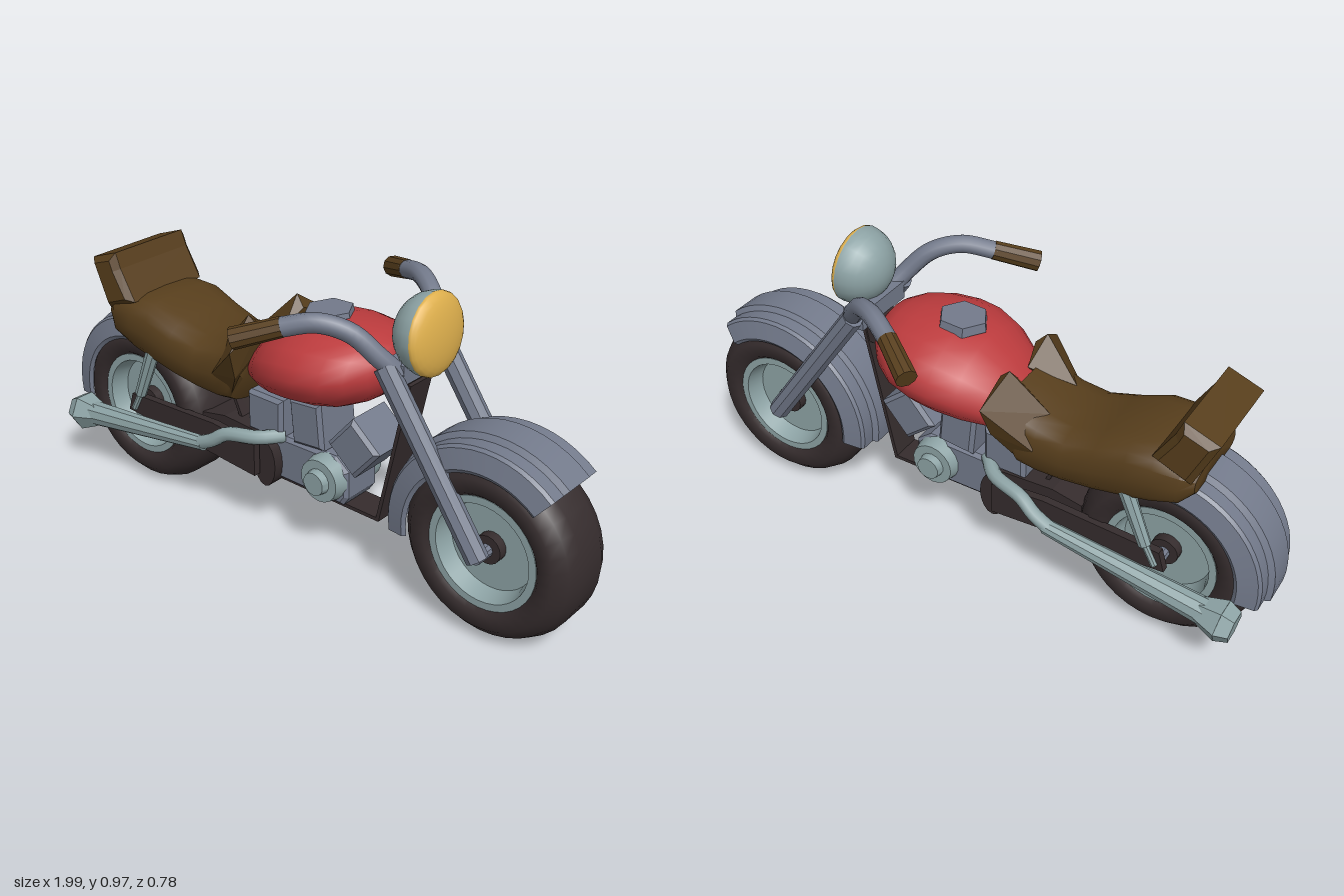
import * as THREE from 'three';
import { toCreasedNormals } from 'three/addons/utils/BufferGeometryUtils.js';
import { ConvexGeometry } from 'three/addons/geometries/ConvexGeometry.js';

const material = (name, color, side = THREE.FrontSide) => {
  const m = new THREE.MeshStandardMaterial({ color, side });
  m.name = name;
  return m;
};
const V = (x, y, z) => new THREE.Vector3(x, y, z);

export function createModel() {
  const red = material('red paint', 0xbc3b3d);
  const grey = material('grey metal', 0x737a8b, THREE.DoubleSide);
  const pale = material('pale metal', 0x8da3a5);
  const dark = material('dark rubber', 0x352c2d);
  const brown = material('brown leather', 0x573e1c);
  const yellow = material('yellow glass', 0xdfb04d);
  const model = new THREE.Group();
  model.name = 'motorcycle';

  const add = (name, geo, mat, x = 0, y = 0, z = 0, parent = model) => {
    const mesh = new THREE.Mesh(geo, mat);
    mesh.name = name;
    mesh.position.set(x, y, z);
    parent.add(mesh);
    return mesh;
  };
  const box = (name, mat, w, h, d, x, y, z = 0) => add(name, new THREE.BoxGeometry(w, h, d), mat, x, y, z);

  // Straight round bar between two points, with its own radius at each end
  const rod = (name, mat, a, b, ra, rb = ra, sides = 12) => {
    const geo = new THREE.CylinderGeometry(rb, ra, a.distanceTo(b), sides);
    const mid = a.clone().add(b).multiplyScalar(0.5);
    const mesh = add(name, toCreasedNormals(geo, 0.6), mat, mid.x, mid.y, mid.z);
    mesh.quaternion.setFromUnitVectors(V(0, 1, 0), b.clone().sub(a).normalize());
    return mesh;
  };

  // Flat outline in x-y, extruded evenly about z = 0
  const slab = (points, depth, bevel = 0) => {
    const shape = new THREE.Shape(points.map(([x, y]) => new THREE.Vector2(x, y)));
    const geo = new THREE.ExtrudeGeometry(shape, {
      depth: depth - 2 * bevel, bevelEnabled: bevel > 0, bevelSize: bevel,
      bevelThickness: bevel, bevelOffset: -bevel, bevelSegments: 1,
    });
    return geo.translate(0, 0, bevel - depth / 2);
  };

  // Body along x from rounded sections [x, bottom, top, half width]
  const loft = (sections, n, power, crease) => {
    const pos = [], index = [], last = sections.length - 1;
    const round = (v) => Math.sign(v) * Math.abs(v) ** power;
    for (const [x, low, high, w] of sections)
      for (let j = 0; j < n; j++) {
        const t = (j / n) * Math.PI * 2;
        pos.push(x, (low + high) / 2 + (high - low) / 2 * round(Math.cos(t)), w * round(Math.sin(t)));
      }
    for (let i = 0; i < last; i++)
      for (let j = 0; j < n; j++) {
        const k = (j + 1) % n, a = i * n + j, d = i * n + k;
        index.push(a, d, a + n, a + n, d, d + n);
      }
    for (let j = 1; j < n - 1; j++) {
      index.push(0, j + 1, j);
      index.push(last * n, last * n + j, last * n + j + 1);
    }
    const geo = new THREE.BufferGeometry();
    geo.setAttribute('position', new THREE.Float32BufferAttribute(pos, 3));
    geo.setIndex(index);
    return toCreasedNormals(geo, crease);
  };

  // Lathe about the z axis, limited to an arc given in degrees from +x
  const spin = (points, from = 0, to = 360, seg = 36) => new THREE.LatheGeometry(
    points.map(([r, z]) => new THREE.Vector2(r, z)), seg,
    THREE.MathUtils.degToRad(from + 90), THREE.MathUtils.degToRad(to - from)).rotateX(Math.PI / 2);

  // Wheels with mudguards
  const wheel = (name, x, from, to, grow) => {
    const g = new THREE.Group();
    g.name = name;
    g.position.set(x, 0.287, 0);
    model.add(g);
    add('tyre', spin([[0.165, -0.09], [0.19, -0.12], [0.235, -0.122], [0.268, -0.09], [0.285, -0.05],
      [0.285, 0.05], [0.268, 0.09], [0.235, 0.122], [0.19, 0.12], [0.165, 0.09]]), dark, 0, 0, 0, g);
    add('rim', toCreasedNormals(spin([[0, -0.05], [0.14, -0.05], [0.155, -0.108], [0.178, -0.108],
      [0.178, 0.108], [0.155, 0.108], [0.14, 0.05], [0, 0.05]]), 0.6), pale, 0, 0, 0, g);
    add('hub', toCreasedNormals(spin([[0, -0.08], [0.045, -0.08], [0.045, 0.08], [0, 0.08]], 0, 360, 16), 0.6), dark, 0, 0, 0, g);
    add('axle', toCreasedNormals(spin([[0, -0.14], [0.02, -0.14], [0.02, 0.14], [0, 0.14]], 0, 360, 10), 0.6), grey, 0, 0, 0, g);
    const guard = [[0.26, -0.13], [0.318, -0.115], [0.326, -0.105], [0.326, -0.062], [0.342, -0.05]];
    const across = [...guard, ...guard.map(([r, z]) => [r, -z]).reverse()];
    const inner = across.map(([r, z]) => [r - 0.012, z * 0.94]).reverse();
    add('mudguard', toCreasedNormals(spin([...across, ...inner, across[0]].map(([r, z]) => [r + grow, z]),
      from, to, 20), 0.5), grey, 0, 0, 0, g);
  };
  wheel('frontWheel', 0.71, 50, 189, 0.002);
  wheel('rearWheel', -0.67, 60, 189, -0.012);

  // Fuel tank and cap
  add('tank', loft([[-0.2, 0.52, 0.59, 0.06], [-0.17, 0.51, 0.65, 0.11], [-0.1, 0.51, 0.715, 0.165],
    [-0.03, 0.515, 0.765, 0.205], [0.05, 0.525, 0.793, 0.228], [0.12, 0.535, 0.8, 0.23], [0.2, 0.555, 0.796, 0.213],
    [0.26, 0.585, 0.785, 0.175], [0.305, 0.62, 0.765, 0.12], [0.33, 0.66, 0.735, 0.06]], 20, 1, 0.9), red);
  const cap = add('tankCap', toCreasedNormals(new THREE.CylinderGeometry(0.075, 0.08, 0.03, 6), 0.4), grey, 0.065, 0.796, 0);
  cap.rotation.set(0, Math.PI / 6, 0.06);

  // Seat, backrest and the collar hugging the tank
  add('seat', loft([[-0.76, 0.58, 0.65, 0.14], [-0.72, 0.53, 0.685, 0.165], [-0.64, 0.5, 0.695, 0.172],
    [-0.56, 0.48, 0.695, 0.174], [-0.46, 0.46, 0.655, 0.17], [-0.36, 0.447, 0.625, 0.165], [-0.27, 0.44, 0.64, 0.162],
    [-0.21, 0.45, 0.66, 0.165], [-0.16, 0.54, 0.68, 0.16]], 20, 0.6, 0.7), brown);
  add('backrest', slab([[-0.82, 0.79], [-0.71, 0.83], [-0.69, 0.78], [-0.63, 0.68], [-0.75, 0.63]], 0.33, 0.02), brown);

  // Frame: a flat strip under the tank, engine and seat
  const frame = [[0.4, 0.68], [0.3, 0.2], [-0.19, 0.2], [-0.31, 0.46]];
  for (let i = 0; i < 3; i++) {
    const [ax, ay] = frame[i], [bx, by] = frame[i + 1];
    box('frameStrip', dark, Math.hypot(bx - ax, by - ay) + 0.008, 0.012, 0.1, (ax + bx) / 2, (ay + by) / 2)
      .rotation.z = Math.atan2(by - ay, bx - ax);
  }
  box('steeringNeck', dark, 0.1, 0.09, 0.09, 0.34, 0.67);

  // Engine: crankcase, three blocks and a gearbox drum
  add('crankcase', slab([[-0.19, 0.22], [-0.17, 0.21], [0.18, 0.21], [0.2, 0.24], [0.2, 0.33], [0.15, 0.37], [-0.19, 0.36]], 0.15, 0.012), grey);
  const block = (x, y, w, h, turn) => {
    const geo = slab([[-w / 2, -h / 2], [w / 2, -h / 2], [w / 2, h / 2], [-w / 2, h / 2]], 0.17, 0.012);
    add('engineBlock', geo, grey, x, y, 0).rotation.z = turn;
  };
  block(-0.128, 0.42, 0.145, 0.14, 0);
  block(0.042, 0.447, 0.125, 0.155, 0.1);
  block(0.225, 0.427, 0.135, 0.145, -0.7);
  rod('gearboxDrum', dark, V(-0.105, 0.268, -0.11), V(-0.105, 0.268, 0.11), 0.08, 0.08, 16).scale.x = 0.56;
  add('gearboxHousing', slab([[-0.4, 0.25], [-0.11, 0.2], [-0.11, 0.35], [-0.3, 0.36], [-0.4, 0.34]], 0.17), dark);

  // Headlamp, tilted slightly upward
  const lamp = new THREE.Group();
  lamp.name = 'headlamp';
  lamp.position.set(0.46, 0.85, 0.02);
  lamp.rotation.z = 0.09;
  model.add(lamp);
  const dome = (name, mat, depth, turn) => add(name, new THREE.SphereGeometry(0.123, 20, 8, 0, Math.PI * 2, 0, Math.PI / 2)
    .scale(1, depth / 0.123, 1).rotateZ(turn), mat, 0, 0, 0, lamp);
  dome('lampShell', pale, 0.115, Math.PI / 2);
  dome('lampLens', yellow, 0.04, -Math.PI / 2);
  box('forkClamp', grey, 0.07, 0.06, 0.22, 0.39, 0.742);

  // Parts repeated on both sides
  for (const s of [1, -1]) {
    const P = (x, y, z) => V(x, y, z * s);
    rod('forkLeg', grey, P(0.715, 0.28, 0.13), P(0.375, 0.765, 0.13), 0.034, 0.034, 8);

    const bar = new THREE.CatmullRomCurve3([P(0.4, 0.74, 0.1), P(0.365, 0.79, 0.14), P(0.3, 0.86, 0.185),
      P(0.22, 0.885, 0.235), P(0.125, 0.862, 0.29)]);
    add('handlebar', new THREE.TubeGeometry(bar, 18, 0.029, 10), grey);
    rod('grip', brown, P(0.135, 0.865, 0.284), P(0.018, 0.822, 0.363), 0.03, 0.033, 10);

    add('seatCollar', new ConvexGeometry([P(-0.28, 0.635, 0.08), P(-0.27, 0.55, 0.165), P(-0.16, 0.76, 0.11),
      P(-0.125, 0.725, 0.1), P(-0.13, 0.68, 0.225), P(-0.145, 0.58, 0.19), P(-0.2, 0.5, 0.15), P(-0.14, 0.68, 0.03)]), brown);

    const header = new THREE.CatmullRomCurve3([P(-0.06, 0.365, 0.06), P(-0.12, 0.36, 0.12), P(-0.23, 0.345, 0.15),
      P(-0.28, 0.31, 0.16), P(-0.34, 0.28, 0.163)]);
    add('exhaustHeader', new THREE.TubeGeometry(header, 16, 0.023, 10), pale);
    rod('exhaustPipe', pale, P(-0.32, 0.283, 0.162), P(-0.85, 0.212, 0.166), 0.024, 0.042, 10);
    rod('exhaustFlare', pale, P(-0.83, 0.213, 0.166), P(-0.9, 0.205, 0.166), 0.042, 0.066, 6);
    rod('exhaustTip', pale, P(-0.9, 0.205, 0.166), P(-0.94, 0.2, 0.166), 0.066, 0.05, 6);

    rod('shockAbsorber', pale, P(-0.56, 0.53, 0.142), P(-0.635, 0.35, 0.142), 0.024, 0.02, 8);
    rod('shockRod', pale, P(-0.635, 0.35, 0.142), P(-0.67, 0.285, 0.142), 0.011, 0.011, 8);
    add('swingArm', slab([[-0.7, 0.27], [-0.12, 0.23], [-0.12, 0.34], [-0.3, 0.355], [-0.68, 0.335]], 0.025), dark, 0, 0, s * 0.128);

    rod('engineCover', pale, P(0.118, 0.29, 0.06), P(0.118, 0.29, 0.11), 0.08, 0.07, 18);
    rod('engineCoverCap', pale, P(0.118, 0.29, 0.11), P(0.118, 0.29, 0.135), 0.042, 0.038, 14);
  }
  return model;
}
